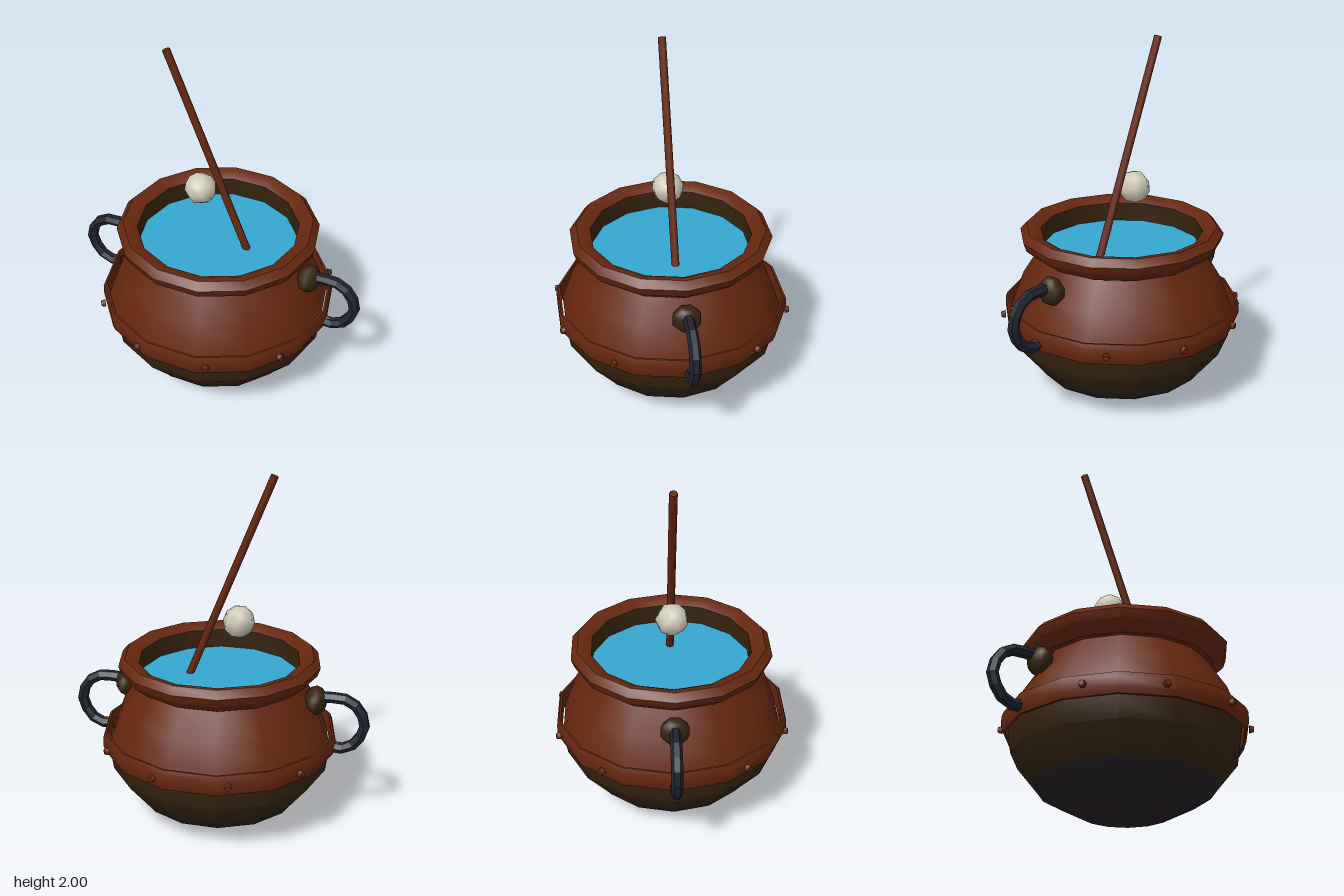
import * as THREE from 'three';
import { toCreasedNormals } from 'three/addons/utils/BufferGeometryUtils.js';

const SIDES = 14;

function material(name, color) {
  const m = new THREE.MeshStandardMaterial({ color });
  m.name = name;
  return m;
}

// Fourteen-sided turned shape with a corner on the x axis
function turned(profile) {
  const points = profile.map(([r, y]) => new THREE.Vector2(r, y));
  return toCreasedNormals(new THREE.LatheGeometry(points, SIDES, Math.PI / 2), 0.65);
}

export function createModel() {
  const copper = material('copper', 0x66270f);
  const brown = material('dark brown', 0x35240f);
  const soot = material('soot', 0x272126);
  const iron = material('iron', 0x20222e);
  iron.flatShading = true;
  const blue = material('liquid blue', 0x36a6d0);
  const pale = material('pale bubble', 0xd0ccb8);

  const model = new THREE.Group();
  model.name = 'cauldron';
  function add(name, geometry, mat, parent = model) {
    const mesh = new THREE.Mesh(geometry, mat);
    mesh.name = name;
    parent.add(mesh);
    return mesh;
  }

  // Pot body in three coloured zones
  add('potBase', turned([[0, 0], [0.245, 0], [0.46, 0.11], [0.498, 0.16]]), soot);
  add('potBelly', turned([[0.498, 0.16], [0.618, 0.307], [0.632, 0.4], [0.638, 0.46]]), brown);
  add('potShoulder', turned([[0.638, 0.46], [0.61, 0.54], [0.564, 0.665], [0.468, 0.815], [0.455, 0.84]]), copper);

  // Rim, inner wall and liquid
  add('rim', turned([[0.45, 0.828], [0.492, 0.828], [0.558, 0.883], [0.574, 0.93],
    [0.537, 0.97], [0.5, 0.966], [0.457, 0.94]]), copper);
  add('innerWall', turned([[0.457, 0.94], [0.457, 0.8]]), brown);
  const liquid = add('liquid', new THREE.CircleGeometry(0.455, SIDES), blue);
  liquid.rotation.x = -Math.PI / 2;
  liquid.position.y = 0.832;

  // Loose band round the belly
  add('band', turned([[0.65, 0.42], [0.662, 0.42], [0.673, 0.45], [0.673, 0.505],
    [0.662, 0.535], [0.65, 0.535], [0.65, 0.42]]), copper);

  // Ten rivets round the band
  const rivetShape = new THREE.CylinderGeometry(0.016, 0.022, 0.024, 6).rotateZ(-Math.PI / 2);
  for (let i = 0; i < 10; i++) {
    const pivot = new THREE.Group();
    pivot.name = 'rivetPivot';
    pivot.rotation.y = i * Math.PI / 5;
    model.add(pivot);
    add('rivet', rivetShape, copper, pivot).position.set(0.68, 0.476, 0);
  }

  // Side handles with their knobs
  const path = new THREE.CatmullRomCurve3([
    [0.58, 0.76], [0.72, 0.76], [0.79, 0.715], [0.832, 0.615],
    [0.79, 0.51], [0.73, 0.463], [0.64, 0.463],
  ].map(([x, y]) => new THREE.Vector3(x, y, 0)));
  const handleShape = new THREE.TubeGeometry(path, 9, 0.032, 6);
  const knobShape = new THREE.SphereGeometry(0.083, 8, 6, Math.PI / 8).rotateZ(Math.PI / 2);
  knobShape.scale(0.78, 1, 1);
  for (const turn of [0, Math.PI]) {
    const side = new THREE.Group();
    side.name = turn ? 'rightHandle' : 'leftHandle';
    side.rotation.y = turn;
    model.add(side);
    add('handle', handleShape, iron, side);
    add('knob', knobShape, brown, side).position.set(0.553, 0.737, 0);
  }

  // Leaning stirring stick
  const top = new THREE.Vector3(-0.297, 1.991, 0);
  const bottom = new THREE.Vector3(0.19, 0.79, 0);
  const stick = add('stick', new THREE.CylinderGeometry(0.022, 0.022, top.distanceTo(bottom), 8), copper);
  stick.position.copy(top).add(bottom).multiplyScalar(0.5);
  stick.quaternion.setFromUnitVectors(new THREE.Vector3(0, 1, 0), top.clone().sub(bottom).normalize());

  // Bubble floating above the liquid
  const bubble = add('bubble', new THREE.SphereGeometry(0.092, 7, 5), pale);
  bubble.position.set(-0.108, 1.165, 0);
  bubble.rotation.set(0.3, 0.4, 0.35);

  return model;
}
